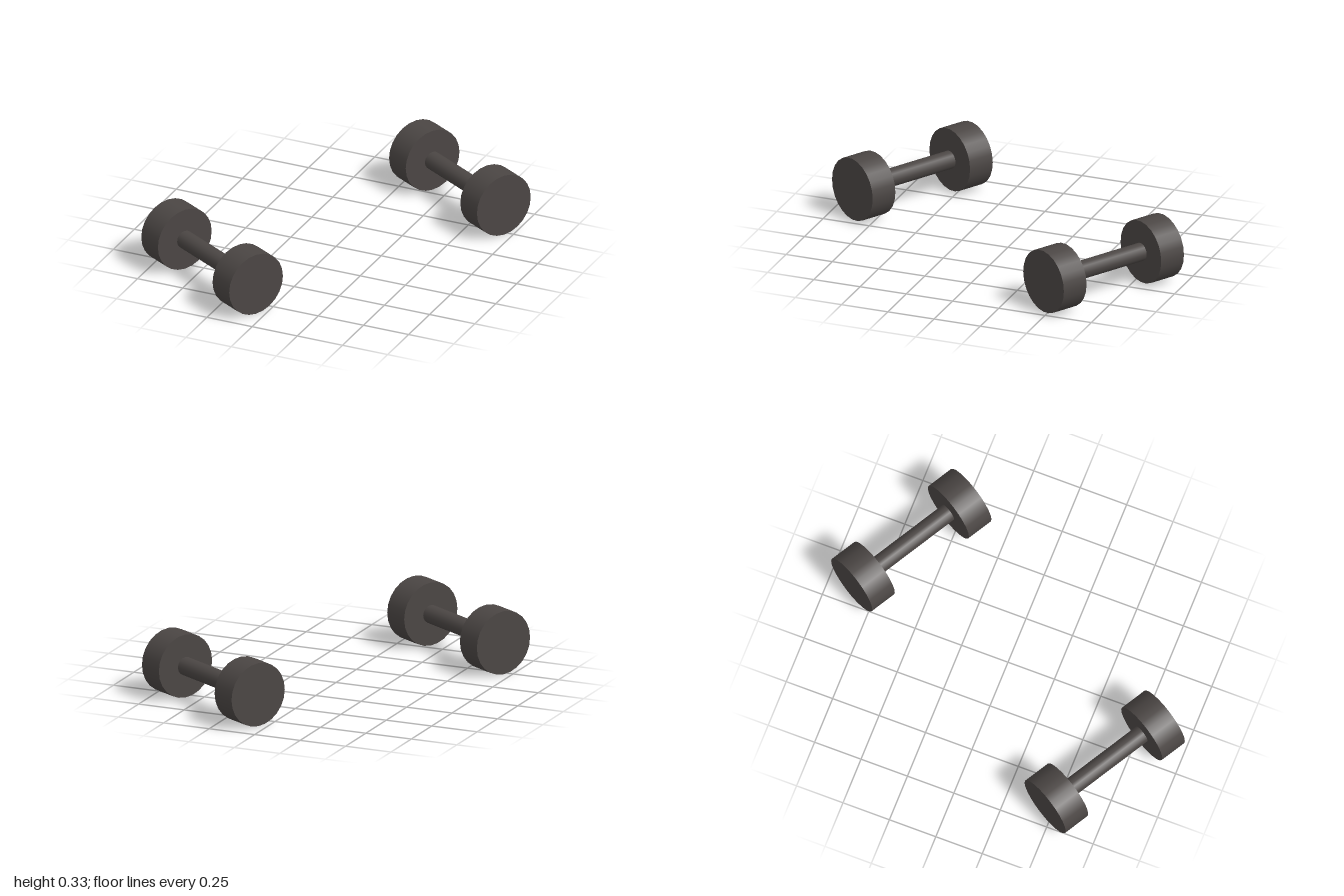
import * as THREE from 'three';

const HEAD_RADIUS = 0.165, HEAD_LENGTH = 0.145, HEAD_OFFSET = 0.311, BAR_RADIUS = 0.047;

export function createModel() {
  const iron = new THREE.MeshStandardMaterial({ color: 0x4b4644 });
  iron.name = 'darkIron';

  // Cylinder lying along x
  const rod = (name, radius, length, sides, x) => {
    const geometry = new THREE.CylinderGeometry(radius, radius, length, sides);
    geometry.rotateZ(Math.PI / 2);
    const mesh = new THREE.Mesh(geometry, iron);
    mesh.name = name;
    mesh.position.x = x;
    return mesh;
  };

  // One dumbbell: a handle between two round weights
  const dumbbell = (name, x, z) => {
    const group = new THREE.Group();
    group.name = name;
    group.add(rod('handle', BAR_RADIUS, 2 * HEAD_OFFSET - HEAD_LENGTH + 0.02, 16, 0));
    group.add(rod('leftWeight', HEAD_RADIUS, HEAD_LENGTH, 24, HEAD_OFFSET));
    group.add(rod('rightWeight', HEAD_RADIUS, HEAD_LENGTH, 24, -HEAD_OFFSET));
    group.position.set(x, HEAD_RADIUS, z);
    group.rotation.y = -Math.PI / 6;
    return group;
  };

  const model = new THREE.Group();
  model.name = 'dumbbellPair';
  model.add(dumbbell('frontDumbbell', -0.376, 0.667));
  model.add(dumbbell('backDumbbell', 0.376, -0.667));
  return model;
}
